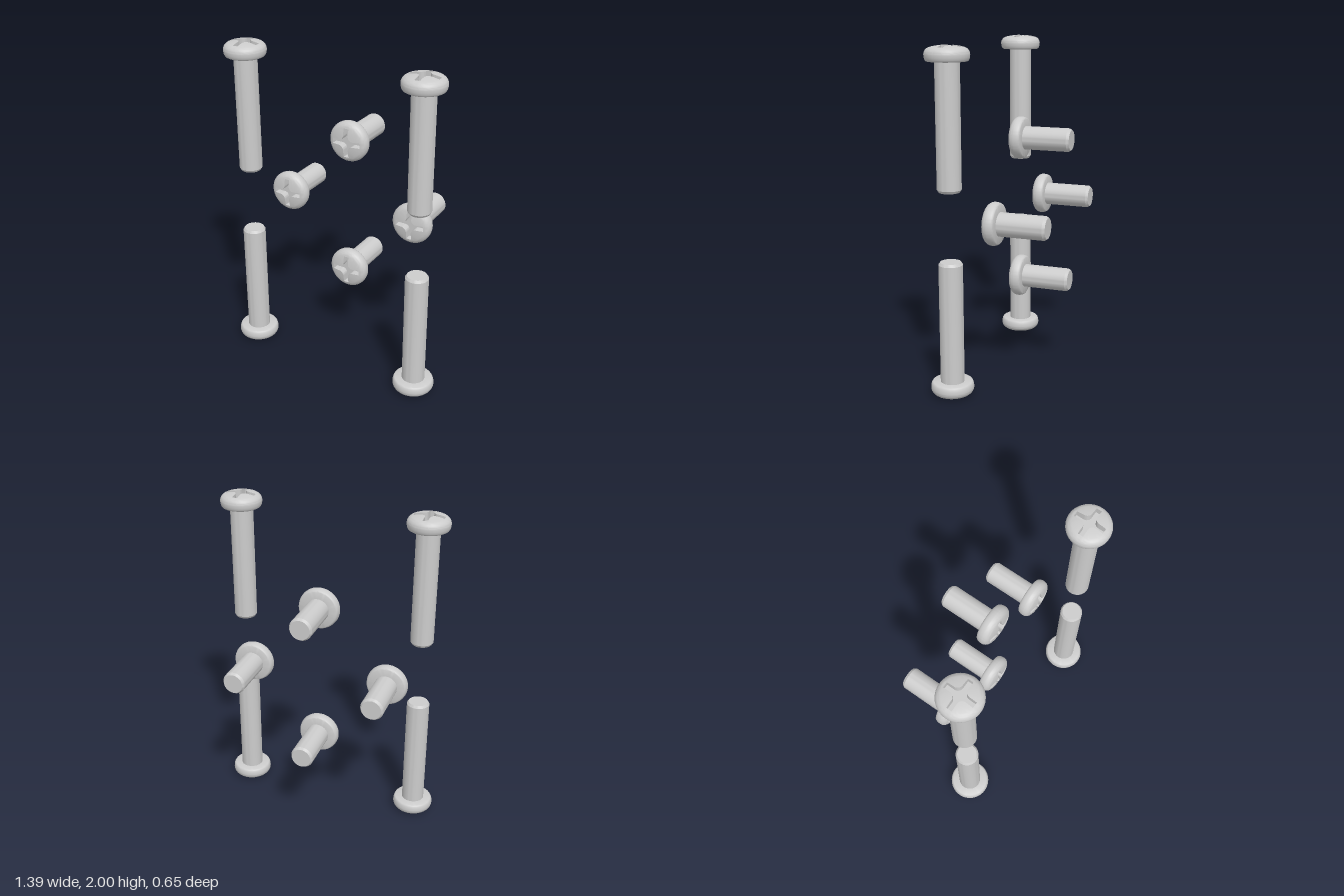
import * as THREE from 'three';
import { toCreasedNormals } from 'three/addons/utils/BufferGeometryUtils.js';

const HEAD_H = 0.087, HEAD_R = 0.1245, SHAFT_R = 0.069;
const ARM = 0.089, HALF = 0.016, FILLET = 0.029, FLOOR = 0.037;
const material = new THREE.MeshStandardMaterial({ color: 0xcccccc });

// Outline of the cross recess: four arms with filleted inner corners
function crossOutline() {
  const quarter = [];
  for (let i = 0; i < 4; i++) quarter.push([ARM, -HALF + (i / 4) * 2 * HALF]);
  const c = HALF + FILLET;
  for (let i = 0; i < 3; i++) quarter.push([ARM + (i / 3) * (c - ARM), HALF]);
  for (let i = 0; i <= 8; i++) {
    const a = (i / 8) * Math.PI / 2;
    quarter.push([c - FILLET * Math.sin(a), c - FILLET * Math.cos(a)]);
  }
  for (let i = 1; i < 3; i++) quarter.push([HALF, c + (i / 3) * (ARM - c)]);
  const outline = [];
  for (let k = 0; k < 4; k++) {
    const turn = k * Math.PI / 2;
    for (const [u, v] of quarter) {
      outline.push({ r: Math.hypot(u, v), a: Math.atan2(v, u) + turn });
    }
  }
  return outline;
}

// Domed head, lofted ring by ring from the recess floor over the dome to the underside
function headGeometry() {
  const outline = crossOutline();
  const n = outline.length;
  const dome = r => HEAD_H - 1.4 * r * r;
  const edge = 0.0925;
  const rings = [
    () => [0, FLOOR],
    o => [o.r, FLOOR],
    o => [o.r, dome(o.r)],
  ];
  for (const t of [0.33, 0.67, 1]) {
    rings.push(o => {
      const r = o.r + (edge - o.r) * t;
      return [r, dome(r)];
    });
  }
  // Rounded shoulder down to the widest point
  const shoulderY = 0.036;
  for (let i = 1; i <= 8; i++) {
    const a = 0.25 + (i / 8) * (Math.PI / 2 - 0.25);
    const t = (Math.sin(a) - Math.sin(0.25)) / (1 - Math.sin(0.25));
    const h = Math.cos(a) / Math.cos(0.25);
    rings.push(() => [edge + (HEAD_R - edge) * t, shoulderY + (dome(edge) - shoulderY) * h]);
  }
  // Lower side, tucked in to the flat underside
  for (const p of [[0.1235, 0.023], [0.1205, 0.011], [0.116, 0.003], [0.111, 0], [0.05, 0]]) {
    rings.push(() => p);
  }

  const positions = [], index = [];
  for (const ring of rings) {
    for (const o of outline) {
      const [r, y] = ring(o);
      positions.push(r * Math.sin(o.a), y, r * Math.cos(o.a));
    }
  }
  for (let i = 0; i < rings.length - 1; i++) {
    for (let j = 0; j < n; j++) {
      const k = (j + 1) % n;
      const a = i * n + j, d = i * n + k, b = a + n, c = d + n;
      index.push(a, b, c);
      if (i > 0) index.push(a, c, d);
    }
  }
  const geometry = new THREE.BufferGeometry();
  geometry.setAttribute('position', new THREE.Float32BufferAttribute(positions, 3));
  geometry.setIndex(index);
  return toCreasedNormals(geometry, 0.6);
}

// Plain shaft with a chamfered tip, hanging below the head
function shaftGeometry(length) {
  const profile = [
    [0, -length], [SHAFT_R - 0.01, -length], [SHAFT_R, -length + 0.015], [SHAFT_R, 0.005],
  ].map(([x, y]) => new THREE.Vector2(x, y));
  return toCreasedNormals(new THREE.LatheGeometry(profile, 48), 0.5);
}

export function createModel() {
  const model = new THREE.Group();
  model.name = 'screwSet';
  const head = headGeometry();
  const longShaft = shaftGeometry(0.8 - HEAD_H);
  const shortShaft = shaftGeometry(0.37 - HEAD_H);

  function addScrew(name, shaft, x, y, z) {
    const screw = new THREE.Group();
    screw.name = name;
    const headMesh = new THREE.Mesh(head, material);
    headMesh.name = 'screwHead';
    const shaftMesh = new THREE.Mesh(shaft, material);
    shaftMesh.name = 'screwShaft';
    screw.add(headMesh, shaftMesh);
    screw.position.set(x, y, z);
    model.add(screw);
    return screw;
  }

  // Long screws at the corners: heads up above, heads down below
  for (const [side, x] of [['Left', 0.57], ['Right', -0.57]]) {
    addScrew('longScrewTop' + side, longShaft, x, 2 - HEAD_H, 0.2);
    addScrew('longScrewBottom' + side, longShaft, x, HEAD_H, 0.2).rotation.z = Math.PI;
  }

  // Short screws in a diamond, heads facing forward
  const diamond = [['Top', 0, 1.43], ['Bottom', 0, 0.578], ['Left', 0.426, 1.004], ['Right', -0.426, 1.004]];
  for (const [place, x, y] of diamond) {
    addScrew('shortScrew' + place, shortShaft, x, y, 0.045 - HEAD_H).rotation.x = Math.PI / 2;
  }
  return model;
}
